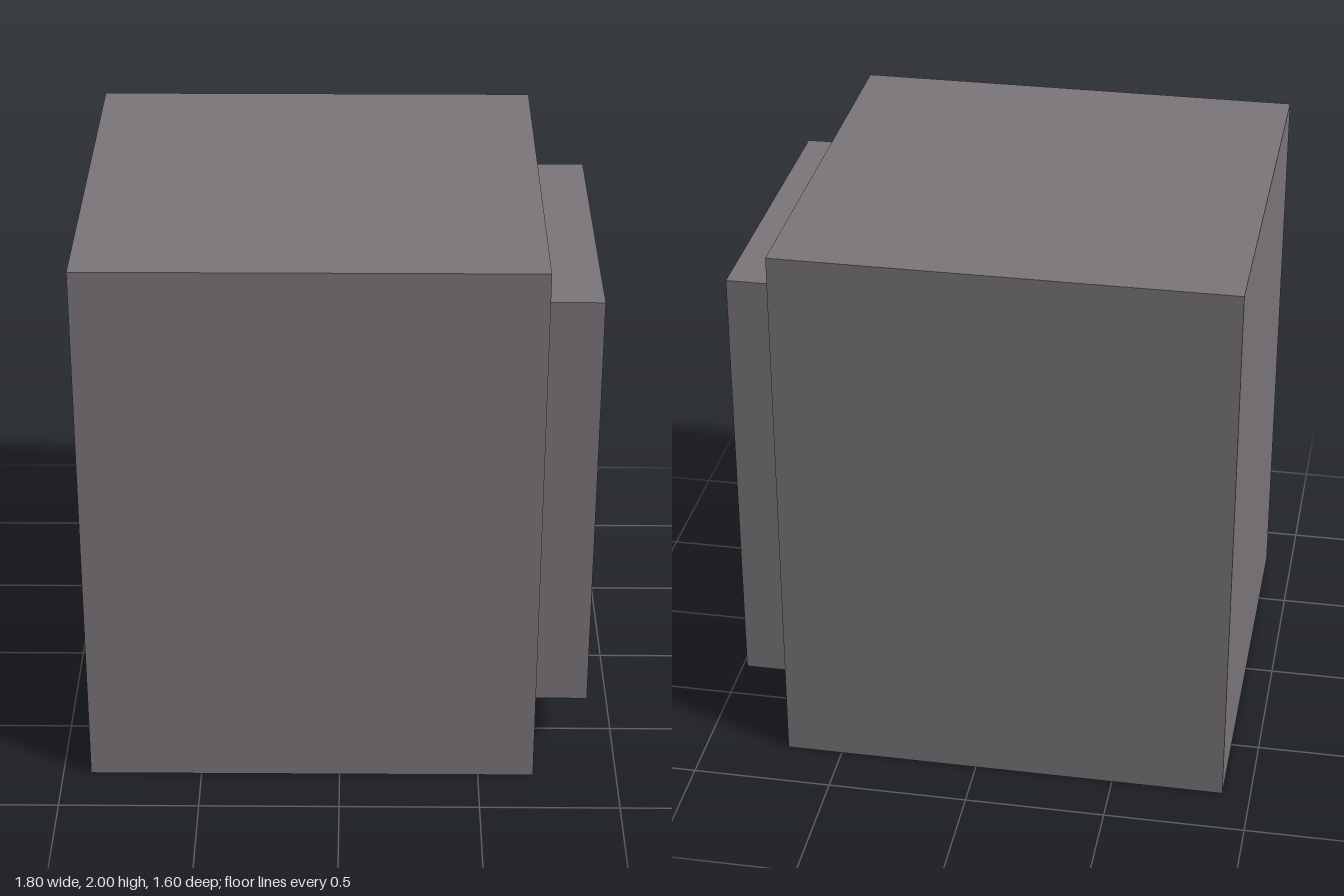
import * as THREE from 'three';

const grey = new THREE.MeshStandardMaterial({ name: 'grey casing', color: 0x7b767b });
const green = new THREE.MeshStandardMaterial({ name: 'green label', color: 0x527a20 });

function addBox(parent, name, size, position) {
  const mesh = new THREE.Mesh(new THREE.BoxGeometry(...size), grey);
  mesh.name = name;
  mesh.position.set(...position);
  parent.add(mesh);
}

// Rectangle with rounded corners, centred on the origin
function roundedRectangle(w, h, r) {
  const x = w / 2, y = h / 2;
  const s = new THREE.Shape();
  s.absarc(x - r, y - r, r, 0, Math.PI / 2);
  s.absarc(-x + r, y - r, r, Math.PI / 2, Math.PI);
  s.absarc(-x + r, -y + r, r, Math.PI, Math.PI * 1.5);
  s.absarc(x - r, -y + r, r, Math.PI * 1.5, Math.PI * 2);
  s.closePath();
  return s;
}

export function createModel() {
  const model = new THREE.Group();
  model.name = 'cabinet';

  // Main body and the raised panel on its +x side
  addBox(model, 'body', [1.6, 2, 1.6], [-0.1, 1, 0]);
  addBox(model, 'sidePanel', [0.2, 1.6, 1.2], [0.8, 1, 0]);

  // Thin rounded label on the panel, facing +x
  const label = new THREE.Mesh(
    new THREE.ExtrudeGeometry(roundedRectangle(0.3, 0.2, 0.025), {
      depth: 0.002, bevelEnabled: false, curveSegments: 4,
    }),
    green,
  );
  label.name = 'label';
  label.rotation.y = Math.PI / 2;
  label.position.set(0.9, 1.18, 0.285);
  model.add(label);

  return model;
}
